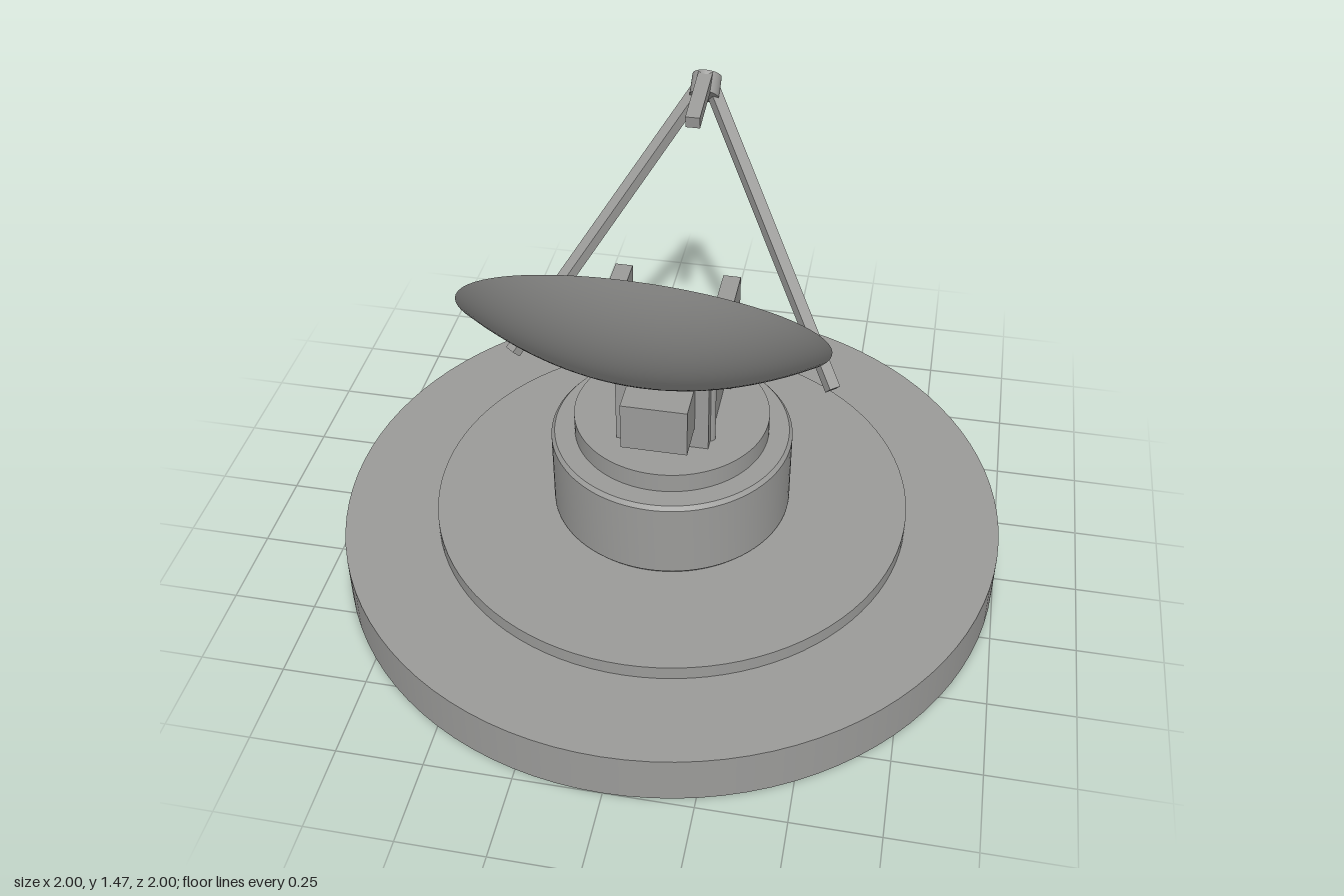
import * as THREE from 'three';
import { toCreasedNormals } from 'three/addons/utils/BufferGeometryUtils.js';

export function createModel() {
  const model = new THREE.Group();
  model.name = 'dishAntenna';
  const grey = new THREE.MeshStandardMaterial({ color: 0x9b9b99 });
  grey.name = 'grey';

  const add = (name, geometry, x = 0, y = 0, z = 0, parent = model) => {
    const mesh = new THREE.Mesh(geometry, grey);
    mesh.name = name;
    mesh.position.set(x, y, z);
    parent.add(mesh);
    return mesh;
  };
  const box = (name, w, h, d, x, y, z) => add(name, new THREE.BoxGeometry(w, h, d), x, y, z);
  const disc = (name, r, y0, y1) =>
    add(name, new THREE.CylinderGeometry(r, r, y1 - y0, 96), 0, (y0 + y1) / 2, 0);
  // Square bar between two points
  const bar = (name, a, b, w, h) => {
    const mesh = add(name, new THREE.BoxGeometry(w, h, a.distanceTo(b)));
    mesh.position.copy(a).lerp(b, 0.5);
    mesh.lookAt(b);
    return mesh;
  };
  const v = (x, y, z) => new THREE.Vector3(x, y, z);

  // Stepped foundation and turntable
  disc('base', 1, 0, 0.152);
  disc('basePlate', 0.717, 0.152, 0.195);
  const drum = [[0, 0.195], [0.35, 0.195], [0.36, 0.207], [0.36, 0.443], [0.35, 0.455], [0, 0.455]];
  add('pedestal', toCreasedNormals(
    new THREE.LatheGeometry(drum.map(([r, y]) => new THREE.Vector2(r, y)), 96), 0.5));
  disc('collar', 0.29, 0.455, 0.517);

  // Head with yoke arms, front motor and side conduit
  box('head', 0.27, 0.225, 0.305, 0, 0.63, 0.002);
  box('motor', 0.19, 0.15, 0.13, 0, 0.665, 0.21);
  for (const s of [-1, 1]) box('yokeArm', 0.05, 0.3, 0.135, s * 0.156, 0.808, -0.022);
  add('conduit', new THREE.CylinderGeometry(0.013, 0.013, 0.19, 12), 0.135, 0.612, 0.105);

  // Parabolic reflector: outer shell, rim, inner shell
  const tilt = -0.879;
  const profile = [];
  const steps = 20;
  for (let i = 0; i <= steps; i++) {
    const t = i / steps;
    profile.push(new THREE.Vector2(0.484 * t, 0.135 * (t * t - 1)));
  }
  for (let i = steps; i >= 0; i--) {
    const t = i / steps;
    profile.push(new THREE.Vector2(0.468 * t, 0.112 * (t * t - 1)));
  }
  const dish = add('dish', toCreasedNormals(new THREE.LatheGeometry(profile, 72), 0.5), 0, 1.1, 0.392);
  dish.rotation.x = tilt;

  // Feed support legs, hub and horn
  for (const s of [-1, 1]) {
    bar('feedLeg', v(s * 0.47, 0.685, 0.025), v(0, 1.33, -0.555), 0.034, 0.034);
  }
  const hub = add('feedHub', new THREE.CylinderGeometry(0.043, 0.043, 0.065, 32), 0, 1.315, -0.524);
  hub.rotation.x = tilt;
  bar('feedHorn', v(0, 1.345, -0.53), v(0, 1.312, -0.31), 0.042, 0.036);

  return model;
}
